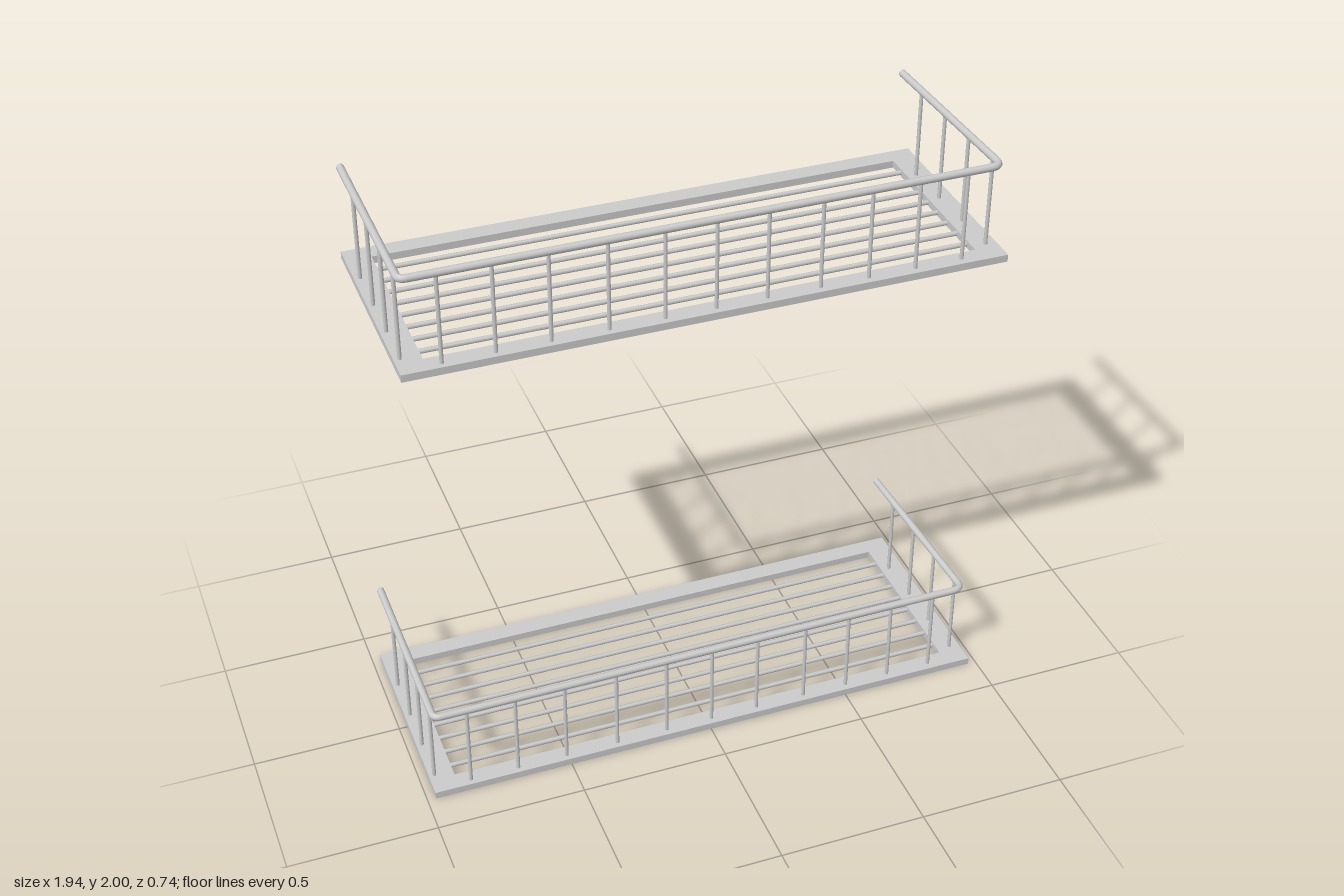
import * as THREE from 'three';

const material = new THREE.MeshStandardMaterial({ color: 0xcccccc });

// Straight runs joined at their given points, one tube ring per point
class Polyline extends THREE.Curve {
  constructor(points) { super(); this.points = points; }
  getPoint(t, target = new THREE.Vector3()) {
    const n = this.points.length - 1;
    const i = Math.min(Math.floor(t * n), n - 1);
    return target.lerpVectors(this.points[i], this.points[i + 1], t * n - i);
  }
  getPointAt(t, target) { return this.getPoint(t, target); }
  getTangentAt(t, target) { return this.getTangent(t, target); }
}

function add(parent, name, geometry, x = 0, y = 0, z = 0) {
  const mesh = new THREE.Mesh(geometry, material);
  mesh.name = name;
  mesh.position.set(x, y, z);
  parent.add(mesh);
  return mesh;
}

const FLOOR = 0.025, RAIL_Y = 0.331, RAIL_R = 0.0125;
const v = (x, z) => new THREE.Vector3(x, RAIL_Y, z);

// Handrail corners; the left arm leans slightly inward
const rightEnd = v(-0.953, -0.347), rightCorner = v(-0.953, 0.346);
const leftCorner = v(0.937, 0.339), leftEnd = v(0.915, -0.332);

// Rounded bend between two arms
function bend(from, corner, to, r) {
  const a = corner.clone().add(from.clone().sub(corner).setLength(r));
  const b = corner.clone().add(to.clone().sub(corner).setLength(r));
  return new THREE.QuadraticBezierCurve3(a, corner, b).getPoints(5);
}

function createBalcony() {
  const balcony = new THREE.Group();

  // Floor frame with its rectangular opening
  const shape = new THREE.Shape();
  shape.moveTo(-0.972, -0.368).lineTo(0.972, -0.368).lineTo(0.972, 0.368).lineTo(-0.972, 0.368).closePath();
  const hole = new THREE.Path();
  hole.moveTo(-0.889, -0.305).lineTo(-0.889, 0.305).lineTo(0.889, 0.305).lineTo(0.889, -0.305).closePath();
  shape.holes.push(hole);
  const frame = new THREE.ExtrudeGeometry(shape, { depth: FLOOR, bevelEnabled: false });
  frame.rotateX(-Math.PI / 2);
  add(balcony, 'floorFrame', frame);

  // Floor bars
  const bar = new THREE.CylinderGeometry(0.008, 0.008, 1.8, 8).rotateZ(Math.PI / 2);
  for (let i = 0; i < 8; i++) add(balcony, 'floorBar', bar, 0, FLOOR / 2, -0.245 + i * 0.07);

  // Handrail with closed ends
  const path = new Polyline([
    rightEnd,
    ...bend(rightEnd, rightCorner, leftCorner, 0.025),
    ...bend(rightCorner, leftCorner, leftEnd, 0.035),
    leftEnd,
  ]);
  add(balcony, 'handrail', new THREE.TubeGeometry(path, path.points.length - 1, RAIL_R, 10));
  for (const end of [rightEnd, leftEnd]) {
    add(balcony, 'handrailCap', new THREE.CircleGeometry(RAIL_R, 10).rotateY(Math.PI), end.x, end.y, end.z);
  }

  // Posts under the front run and both arms
  const height = RAIL_Y - FLOOR;
  const postGeometry = new THREE.CylinderGeometry(0.0065, 0.0065, height, 8);
  const post = (name, x, z) => add(balcony, name, postGeometry, x, FLOOR + height / 2, z);
  for (const x of [-0.844, -0.68, -0.51, -0.33, -0.153, 0.01, 0.175, 0.35, 0.51, 0.667, 0.825]) {
    post('frontPost', x, THREE.MathUtils.mapLinear(x, rightCorner.x, leftCorner.x, rightCorner.z, leftCorner.z));
  }
  for (const z of [0.283, 0.127, -0.03, -0.193]) {
    post('rightPost', rightEnd.x, z);
    post('leftPost', THREE.MathUtils.mapLinear(z, leftEnd.z, leftCorner.z, leftEnd.x, leftCorner.x), z);
  }
  return balcony;
}

export function createModel() {
  const model = new THREE.Group();
  model.name = 'balconies';
  // Two identical balconies, one above the other
  ['lowerBalcony', 'upperBalcony'].forEach((name, i) => {
    const balcony = createBalcony();
    balcony.name = name;
    balcony.position.y = i * 1.657;
    model.add(balcony);
  });
  return model;
}
